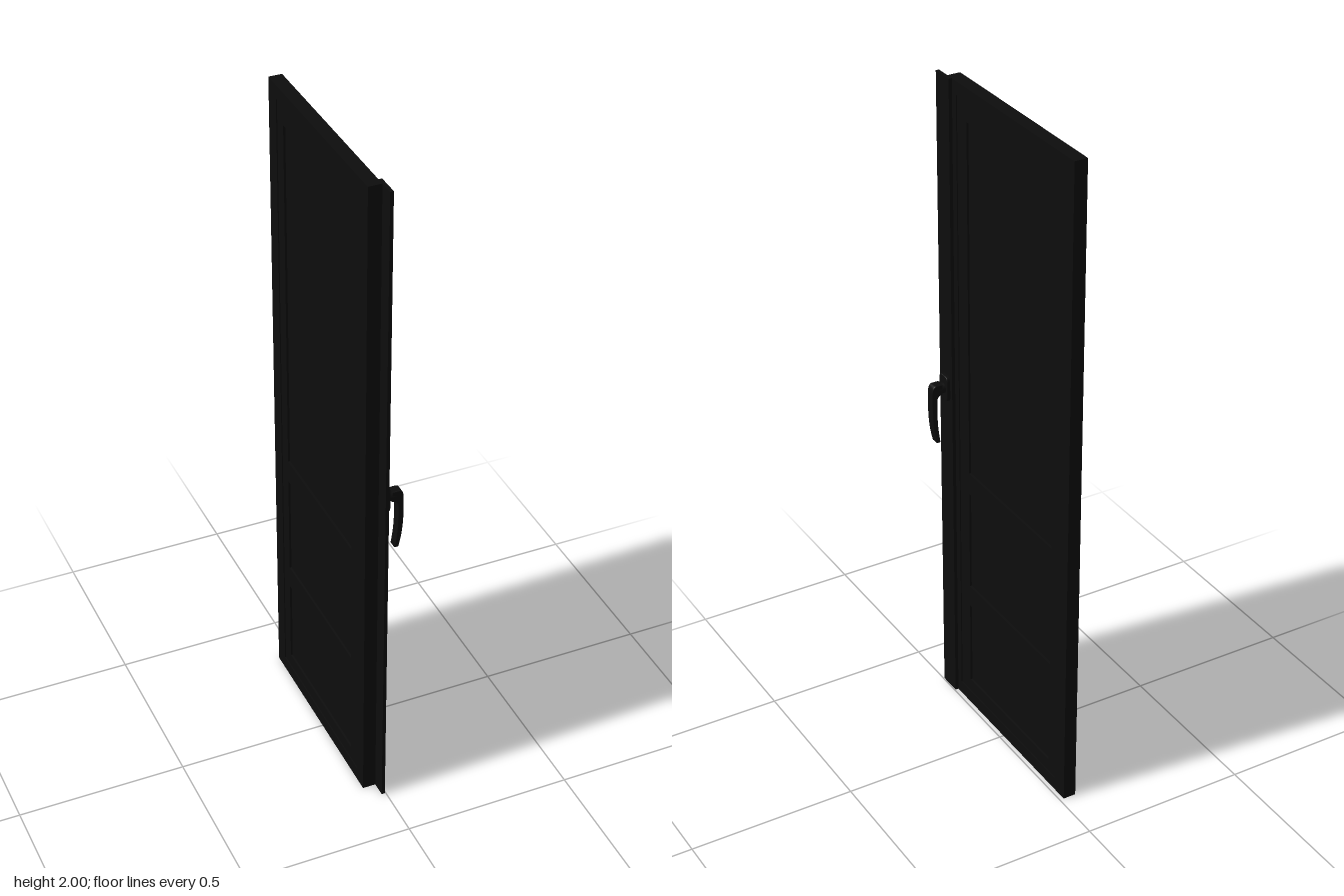
import * as THREE from 'three';

const BACK = -0.052, FRONT = -0.013;      // faces of the door leaf along x
const black = new THREE.MeshStandardMaterial({ color: 0x0d0d0d });

// Rectangle in the plane of the door: z0..z1 across, y0..y1 up
function rect(Type, [z0, z1, y0, y1]) {
  const p = new Type();
  p.moveTo(-z1, y0);
  p.lineTo(-z0, y0);
  p.lineTo(-z0, y1);
  p.lineTo(-z1, y1);
  p.closePath();
  return p;
}

// Board lying between x0 and x1, with rectangular openings
function board(name, outer, holes, x0, x1) {
  const shape = rect(THREE.Shape, outer);
  holes.forEach(h => shape.holes.push(rect(THREE.Path, h)));
  const geo = new THREE.ExtrudeGeometry(shape, { depth: x1 - x0, bevelEnabled: false });
  geo.rotateY(Math.PI / 2).translate(x0, 0, 0);
  const mesh = new THREE.Mesh(geo, black);
  mesh.name = name;
  return mesh;
}

function createHandle() {
  const handle = new THREE.Group();
  handle.name = 'handle';
  const z = 0.305, y = 1.05;

  // Rounded mounting plate
  const w = 0.02, h = 0.037, r = 0.012;
  const s = new THREE.Shape();
  s.moveTo(-w + r, -h);
  s.lineTo(w - r, -h);
  s.quadraticCurveTo(w, -h, w, -h + r);
  s.lineTo(w, h - r);
  s.quadraticCurveTo(w, h, w - r, h);
  s.lineTo(-w + r, h);
  s.quadraticCurveTo(-w, h, -w, h - r);
  s.lineTo(-w, -h + r);
  s.quadraticCurveTo(-w, -h, -w + r, -h);
  const plateGeo = new THREE.ExtrudeGeometry(s, {
    depth: 0.007, bevelThickness: 0.003, bevelSize: 0.003, bevelSegments: 3, curveSegments: 8
  });
  plateGeo.rotateY(Math.PI / 2).translate(-0.003, y, z);
  const plate = new THREE.Mesh(plateGeo, black);
  plate.name = 'handlePlate';

  // Spindle collar
  const neck = new THREE.Mesh(new THREE.CylinderGeometry(0.014, 0.016, 0.03, 24), black);
  neck.name = 'handleNeck';
  neck.rotation.z = -Math.PI / 2;
  neck.position.set(0.02, y, z);

  // Lever bending down from the neck and tapering to its tip
  const l = new THREE.Shape();
  l.moveTo(0.018, 1.066);
  l.lineTo(0.038, 1.066);
  l.quadraticCurveTo(0.047, 1.064, 0.048, 1.045);
  l.bezierCurveTo(0.05, 0.98, 0.048, 0.93, 0.035, 0.882);
  l.lineTo(0.027, 0.882);
  l.bezierCurveTo(0.037, 0.94, 0.036, 0.98, 0.035, 1.02);
  l.quadraticCurveTo(0.034, 1.036, 0.018, 1.037);
  l.closePath();
  const leverGeo = new THREE.ExtrudeGeometry(l, {
    depth: 0.022, bevelThickness: 0.003, bevelSize: 0.002, bevelSegments: 3, curveSegments: 12
  });
  leverGeo.translate(0, 0, z - 0.011);
  const lever = new THREE.Mesh(leverGeo, black);
  lever.name = 'handleLever';

  handle.add(plate, neck, lever);
  return handle;
}

export function createModel() {
  const door = new THREE.Group();
  door.name = 'door';

  const field = [-0.29, 0.25, 0.04, 1.96];
  const panels = [[0.08, 0.35], [0.42, 0.74], [0.81, 1.9]].map(([y0, y1]) => [-0.25, 0.2, y0, y1]);

  // Outer frame, slightly sunk inner frame, and the recessed panels, alike on both faces
  door.add(board('outerFrame', [-0.34, 0.295, 0, 2], [field], BACK, FRONT));
  door.add(board('innerFrame', field, panels, BACK + 0.003, FRONT - 0.003));
  panels.forEach(p => door.add(board('panel', p, [], BACK + 0.009, FRONT - 0.009)));

  // Cover strip overlapping the closing edge
  door.add(board('coverStrip', [0.271, 0.34, 0, 2], [], FRONT, -0.003));

  door.add(createHandle());
  return door;
}
